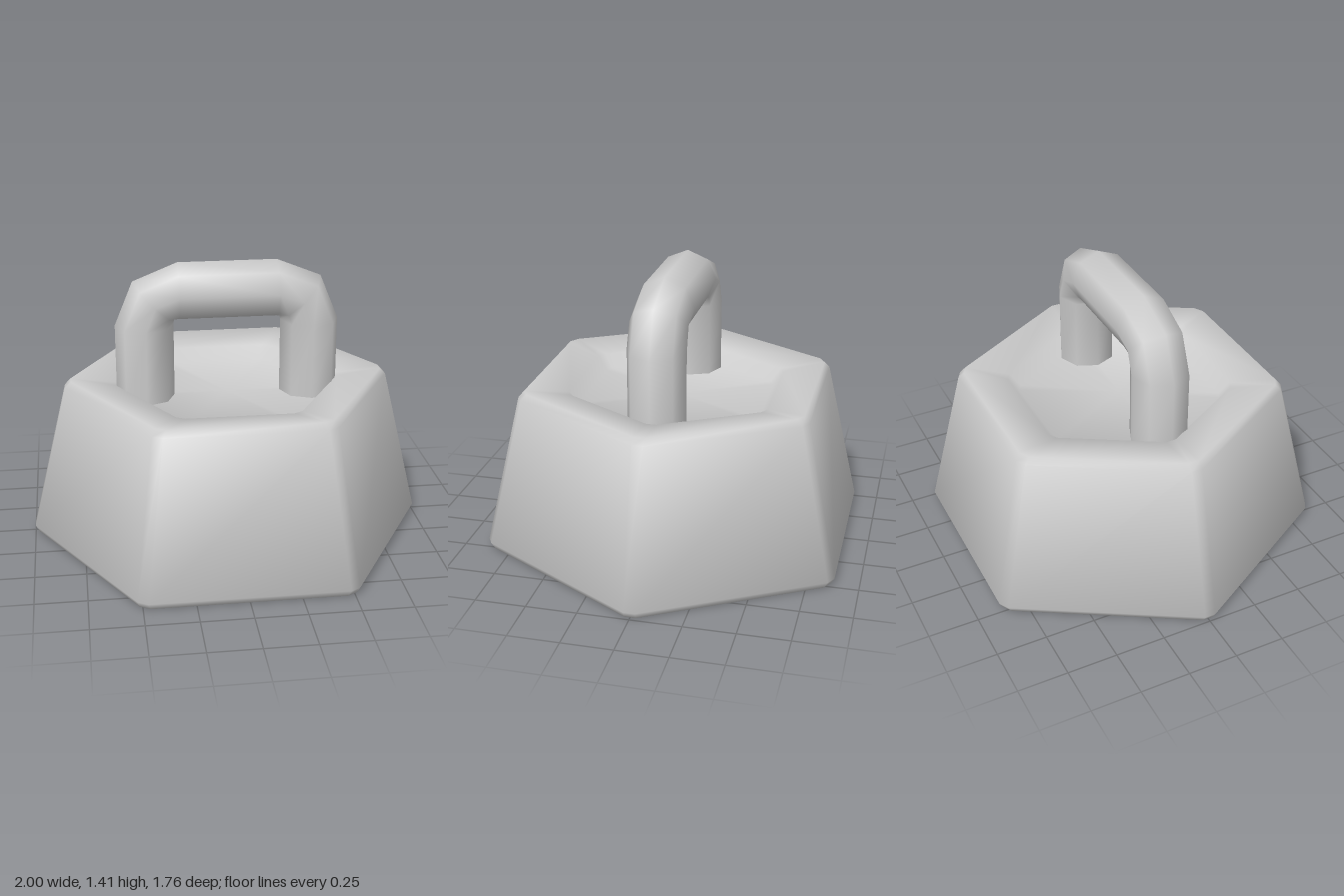
import * as THREE from 'three';
import { mergeVertices } from 'three/addons/utils/BufferGeometryUtils.js';

// Skin closed rings into one surface, with normals that average the
// neighbouring faces equally so the shading rolls softly over the bevels.
function skin(rings) {
  const n = rings[0].length, index = [];
  for (let i = 0; i < rings.length - 1; i++) {
    for (let j = 0; j < n; j++) {
      const a = i * n + j, b = i * n + (j + 1) % n;
      index.push(a, a + n, b, b, a + n, b + n);
    }
  }
  const raw = new THREE.BufferGeometry();
  raw.setAttribute('position', new THREE.Float32BufferAttribute(rings.flat(2), 3));
  raw.setIndex(index);
  const geo = mergeVertices(raw);

  const pos = geo.attributes.position, idx = geo.index.array;
  const normals = Array.from({ length: pos.count }, () => new THREE.Vector3());
  const point = (i) => new THREE.Vector3().fromBufferAttribute(pos, i);
  for (let q = 0; q < idx.length; q += 6) {
    const [a, c, b] = idx.slice(q, q + 3), d = idx[q + 5];
    const face = point(d).sub(point(a)).cross(point(b).sub(point(c))).normalize();
    for (const v of new Set([a, b, c, d])) normals[v].add(face);
  }
  const flat = normals.flatMap((v) => v.normalize().toArray());
  geo.setAttribute('normal', new THREE.Float32BufferAttribute(flat, 3));
  return geo;
}

// Hexagon with slightly cut corners, points on +x and -x.
function hexRing(radius, y) {
  const cut = Math.min(0.032, radius * 0.05), ring = [];
  for (let k = 0; k < 6; k++) {
    const a = k * Math.PI / 3;
    for (const side of [-1, 1]) {
      const d = a + side * Math.PI * 2 / 3; // direction of the adjoining edge
      ring.push([radius * Math.cos(a) + cut * Math.cos(d), y, radius * Math.sin(a) + cut * Math.sin(d)]);
    }
  }
  return ring;
}

// Octagonal handle section, tilted in the x-y plane.
function handleRing([x, y, tilt, r]) {
  const ring = [];
  for (let k = 0; k < 8; k++) {
    const a = k * Math.PI / 4, out = r * Math.cos(a);
    ring.push([x + out * Math.cos(tilt), y + out * Math.sin(tilt), 0.01 + r * Math.sin(a)]);
  }
  return ring;
}

export function createModel() {
  const model = new THREE.Group();
  const material = new THREE.MeshStandardMaterial({ color: 0xcccccc });
  const add = (name, geo) => {
    const mesh = new THREE.Mesh(geo, material);
    mesh.name = name;
    model.add(mesh);
  };

  // Tapered body with dished faces
  const profile = [
    [0, 0.2], [0.66, 0.2], [0.725, 0.03],                  // underside recess
    [0.995, 0], [1.016, 0.035], [0.83, 0.79], [0.8, 0.82], // outer wall
    [0.575, 0.79], [0.52, 0.725], [0, 0.725],              // top recess
  ];
  add('body', skin(profile.map(([r, y]) => hexRing(r, y))));

  // Handle: right half of the path, mirrored to the other leg
  const half = [
    [0.412, 0.7, 0, 0.145],
    [0.412, 1.1, 0, 0.145],
    [0.365, 1.22, Math.PI / 4, 0.143],
    [0.245, 1.265, Math.PI / 2, 0.145],
  ];
  const mirrored = half.map(([x, y, t, r]) => [-x, y, Math.PI - t, r]).reverse();
  add('handle', skin([...half, ...mirrored].map(handleRing)));

  return model;
}
